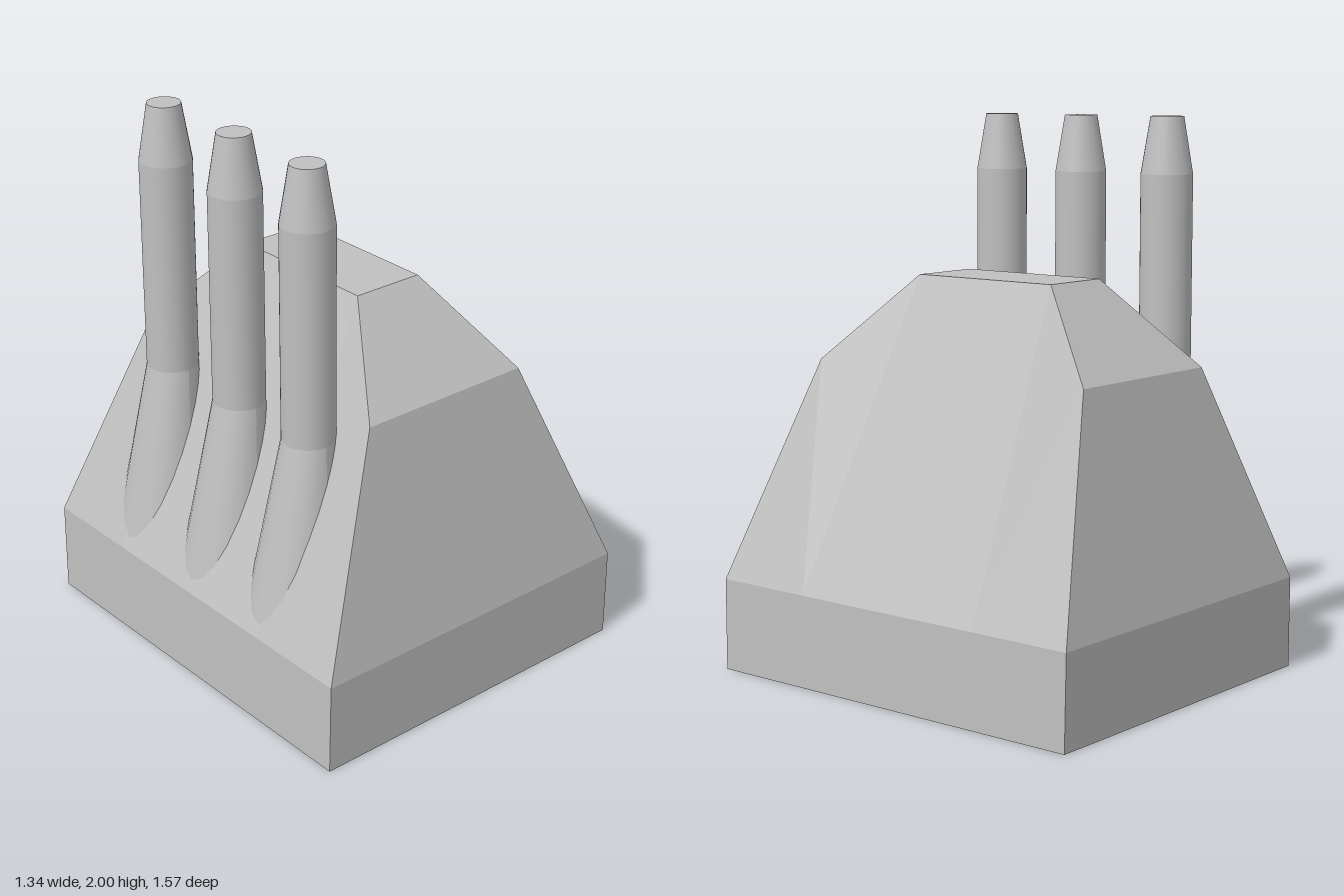
import * as THREE from 'three';

export function createModel() {
  const model = new THREE.Group();
  const grey = new THREE.MeshStandardMaterial({ color: 0xc0c0c0 });
  grey.name = 'grey';

  // Faceted body: faces are corner loops, counter-clockwise from outside
  const positions = [];
  const face = (...p) => {
    for (let i = 1; i < p.length - 1; i++) positions.push(...p[0], ...p[i], ...p[i + 1]);
  };
  // Half width, height and half depth of each level
  const levels = [[0.668, 0, 0.78], [0.664, 0.335, 0.783], [0.342, 1.125, 0.6], [0.137, 1.435, 0.3]];
  const corner = (i, sx, sz) => [levels[i][0] * sx, levels[i][1], levels[i][2] * sz];

  for (const s of [1, -1]) {
    // Front and back: stacked trapezoids
    for (let i = 0; i < 3; i++) {
      face(corner(i, -s, s), corner(i, s, s), corner(i + 1, s, s), corner(i + 1, -s, s));
    }
    // Sides: skirt, then facets fanning to two points on the skirt's top edge
    face(corner(0, s, s), corner(0, s, -s), corner(1, s, -s), corner(1, s, s));
    const near = [0.664 * s, 0.335, 0.39 * s];
    const far = [0.664 * s, 0.335, -0.39 * s];
    face(near, far, corner(3, s, -s), corner(3, s, s));
    face(near, corner(3, s, s), corner(2, s, s), corner(1, s, s));
    face(far, corner(1, s, -s), corner(2, s, -s), corner(3, s, -s));
  }
  // Flat top and underside
  face(corner(3, -1, 1), corner(3, 1, 1), corner(3, 1, -1), corner(3, -1, -1));
  face(corner(0, -1, -1), corner(0, 1, -1), corner(0, 1, 1), corner(0, -1, 1));

  const bodyGeometry = new THREE.BufferGeometry();
  bodyGeometry.setAttribute('position', new THREE.Float32BufferAttribute(positions, 3));
  bodyGeometry.computeVertexNormals();
  const body = new THREE.Mesh(bodyGeometry, grey);
  body.name = 'body';
  model.add(body);

  // Upright section of a pipe between two heights
  const section = (name, rTop, rBottom, y0, y1, open) => {
    const g = new THREE.CylinderGeometry(rTop, rBottom, y1 - y0, 24, 1, open);
    const mesh = new THREE.Mesh(g, grey);
    mesh.name = name;
    mesh.position.y = (y0 + y1) / 2;
    return mesh;
  };

  // Three pipes on the right side, each with a leaning flared foot
  for (const z of [0.372, -0.004, -0.39]) {
    const pipe = new THREE.Group();
    pipe.name = 'pipe';
    pipe.position.set(-0.414, 0, z);
    pipe.add(section('pipeTip', 0.06, 0.094, 1.795, 2, false));
    pipe.add(section('pipeShaft', 0.094, 0.094, 1.02, 1.795, true));

    const foot = section('pipeFoot', 0.094, 0.166, 0.335, 1.02, true);
    const p = foot.geometry.attributes.position;
    for (let i = 0; i < p.count; i++) {
      if (p.getY(i) < 0) {
        p.setX(i, p.getX(i) - 0.073);
        p.setZ(i, p.getZ(i) * 1.1);
      }
    }
    foot.geometry.computeVertexNormals();
    pipe.add(foot);
    model.add(pipe);
  }
  return model;
}
